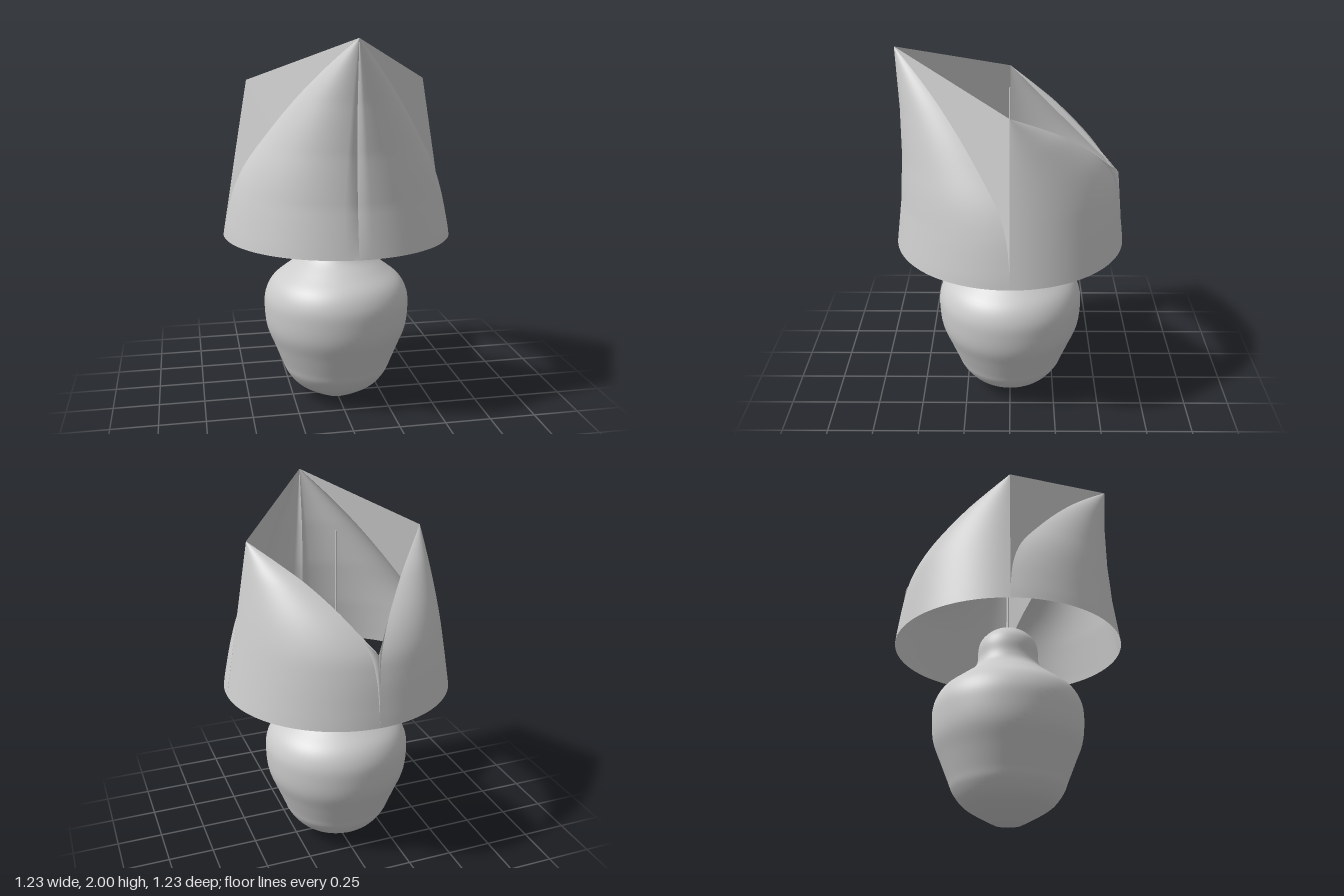
import * as THREE from 'three';

const grey = new THREE.MeshStandardMaterial({ color: 0xcccccc, side: THREE.DoubleSide });
grey.name = 'plain grey';

const spline = (pts) => new THREE.SplineCurve(pts.map(([a, b]) => new THREE.Vector2(a, b)));

function surface(name, positions, indices) {
  const g = new THREE.BufferGeometry();
  g.setAttribute('position', new THREE.Float32BufferAttribute(positions, 3));
  g.setIndex(indices);
  g.computeVertexNormals();
  const mesh = new THREE.Mesh(g, grey);
  mesh.name = name;
  return mesh;
}

// One quarter of the shade: a bulging panel that rises to a high tip on axis u
// and a flat facet that fans from the low tip on axis w to the panel's swept edge.
// edge holds [w, y] from the high tip down to the rim; place maps (u, y, w) to (x, y, z).
function shadeQuarter(name, { edge, seam, lowTip, groove, place }) {
  const ROWS = 48, COLS = 28, RIM = [0.615, 0.955];
  const [highU, highY] = seam[0];
  const slope = (RIM[0] - lowTip[0]) / (lowTip[1] - RIM[1]);
  const facetW = (y) => lowTip[0] + (lowTip[1] - y) * slope;
  const lean = facetW(highY) / highU;
  const edgeCurve = spline(edge);

  // Seam distance at a height, linear between the listed points
  const seamAt = (y) => {
    for (let i = 1; i < seam.length; i++) {
      const [u0, y0] = seam[i - 1], [u1, y1] = seam[i];
      if (y >= y1 - 1e-6) return u0 + (u1 - u0) * (y0 - y) / (y0 - y1);
    }
    return RIM[0];
  };

  const panel = [], panelIdx = [], facet = [...place(0, lowTip[1], lowTip[0])], facetIdx = [];
  for (let i = 0; i <= ROWS; i++) {
    const p = edgeCurve.getPoint(i / ROWS);
    const w = p.x, y = p.y;
    const u = Math.max(0, (facetW(y) - w) / lean);
    const s = seamAt(y);
    for (let j = 0; j <= COLS; j++) {
      const t = (j / COLS) * Math.PI / 2;
      const dip = j === 0 ? groove * Math.sin(Math.PI * i / ROWS) : 0;
      panel.push(...place(u + (s - u) * Math.cos(t) - dip, y, w * Math.sin(t)));
    }
    facet.push(...place(u, y, w));
  }
  for (let i = 0; i < ROWS; i++) {
    for (let j = 0; j < COLS; j++) {
      const a = i * (COLS + 1) + j, b = a + COLS + 1;
      panelIdx.push(a, b, a + 1, b, b + 1, a + 1);
    }
    facetIdx.push(0, i + 1, i + 2);
  }
  const group = new THREE.Group();
  group.name = name;
  group.add(surface('curvedPanel', panel, panelIdx), surface('flatFacet', facet, facetIdx));
  return group;
}

export function createModel() {
  const model = new THREE.Group();
  model.name = 'tableLamp';

  // Turned base with neck and domed top
  const body = spline([
    [0.075, 0], [0.16, 0.045], [0.235, 0.095], [0.285, 0.16], [0.31, 0.22], [0.35, 0.32],
    [0.388, 0.42], [0.4, 0.52], [0.395, 0.61], [0.355, 0.69], [0.27, 0.76], [0.19, 0.825],
    [0.165, 0.88], [0.162, 0.95], [0.145, 1.0], [0.1, 1.045], [0.05, 1.07],
  ]).getPoints(80);
  const base = new THREE.Mesh(new THREE.LatheGeometry(
    [new THREE.Vector2(0, 0), new THREE.Vector2(0.075, 0), ...body,
      new THREE.Vector2(0.05, 1.07), new THREE.Vector2(0, 1.07)]
      .filter((p, i, all) => i === 0 || p.distanceTo(all[i - 1]) > 1e-5), 64), grey);
  base.name = 'base';
  model.add(base);

  // Thin central rod
  const rod = new THREE.Mesh(new THREE.CylinderGeometry(0.005, 0.005, 0.73, 10), grey);
  rod.name = 'rod';
  rod.position.y = 1.425;
  model.add(rod);

  // Shade: front and back quarters, mirrored left and right
  const shade = new THREE.Group();
  shade.name = 'shade';
  for (const side of [1, -1]) {
    const label = side > 0 ? 'Left' : 'Right';
    shade.add(shadeQuarter('front' + label, {
      edge: [[0, 2], [0.1, 1.895], [0.2, 1.78], [0.3, 1.65], [0.4, 1.505], [0.5, 1.345],
        [0.56, 1.2], [0.6, 1.04], [0.615, 0.955]],
      seam: [[0.58, 2], [0.566, 1.7], [0.567, 1.45], [0.583, 1.2], [0.615, 0.955]],
      lowTip: [0.475, 1.78],
      groove: 0.015,
      place: (u, y, w) => [side * w, y, u],
    }));
    shade.add(shadeQuarter('back' + label, {
      edge: [[0, 1.78], [0.15, 1.69], [0.285, 1.6], [0.445, 1.46], [0.54, 1.33],
        [0.58, 1.2], [0.605, 1.04], [0.615, 0.955]],
      seam: [[0.475, 1.78], [0.615, 0.955]],
      lowTip: [0.577, 1.33],
      groove: 0,
      place: (u, y, w) => [side * u, y, -w],
    }));
  }
  model.add(shade);
  return model;
}
